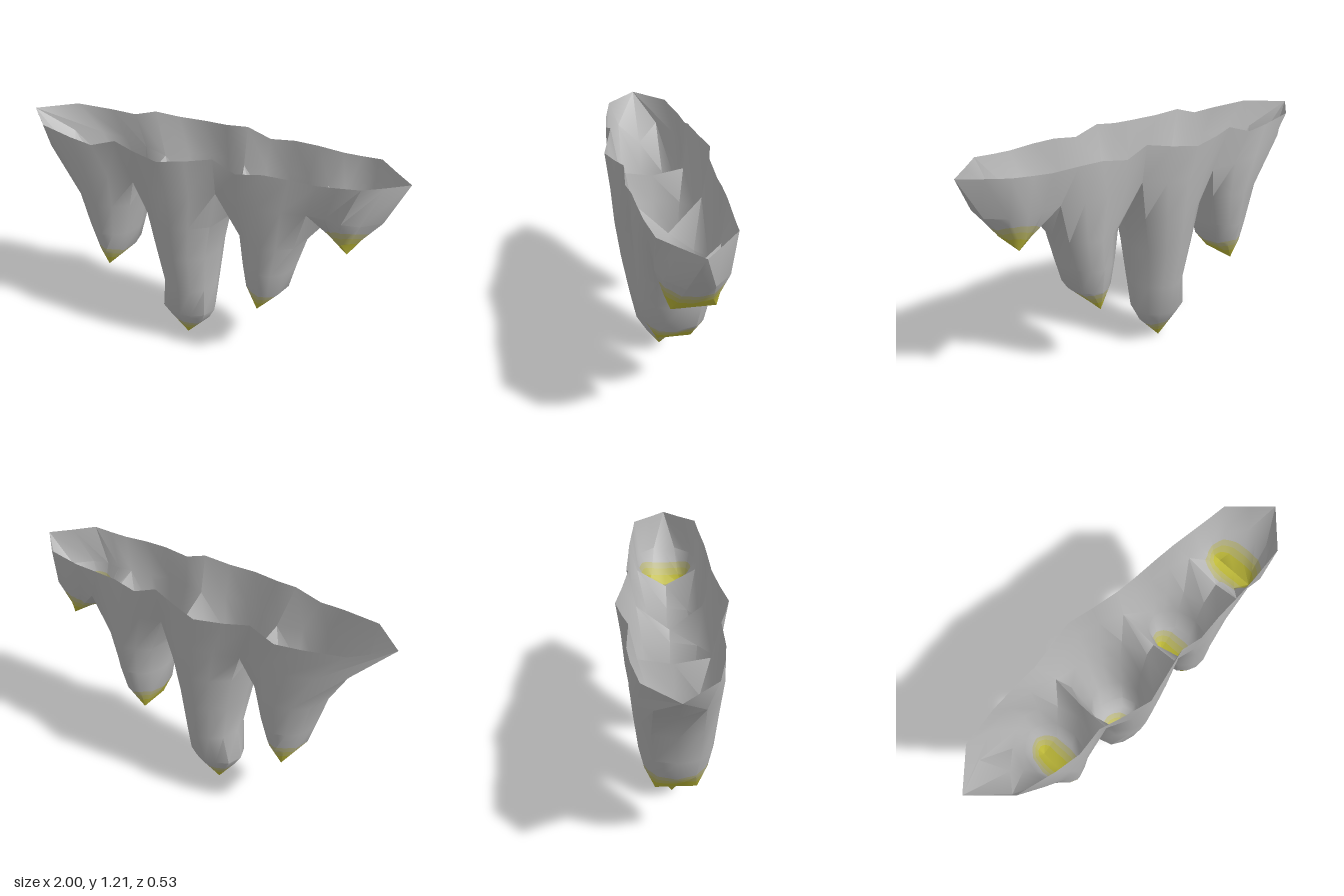
import * as THREE from 'three';
import { toCreasedNormals } from 'three/addons/utils/BufferGeometryUtils.js';

const flat = (name, color) => new THREE.MeshStandardMaterial({ name, color, side: THREE.DoubleSide });

// Rim outline: x, y, half depth. Four spans of four steps, one span for each spike.
const RIM = [
  [-1, 1.18, 0], [-0.84, 1.175, 0.16], [-0.65, 1.16, 0.2], [-0.52, 1.15, 0.215], [-0.39, 1.193, 0.205],
  [-0.27, 1.175, 0.235], [-0.13, 1.165, 0.267], [0, 1.18, 0.235], [0.13, 1.205, 0.205],
  [0.25, 1.16, 0.215], [0.38, 1.18, 0.205], [0.5, 1.18, 0.2], [0.63, 1.175, 0.19],
  [0.72, 1.18, 0.18], [0.82, 1.188, 0.17], [0.91, 1.18, 0.085], [1, 1.175, 0],
];

// Arches between spikes: corner x, y, half depth, then x and y of the middle of the ridge.
const ARCHES = [
  [-0.84, 1.04, 0.11, -0.77, 0.95],
  [-0.32, 0.97, 0.17, -0.32, 0.94],
  [0.13, 1.01, 0.17, 0.17, 0.85],
  [0.58, 1.0, 0.16, 0.62, 0.88],
  [0.91, 0.99, 0.06, 0.9, 0.97],
];

// Spikes: bulge at the arches, rings of y, left x, right x, half depth;
// tip of x, y, half length of its edge.
const SPIKES = [
  { name: 'leftSpike', bulge: 0.21, tip: [-0.54, 0.39, 0.1],
    rings: [[0.8, -0.71, -0.345, 0.195], [0.62, -0.66, -0.39, 0.175], [0.5, -0.625, -0.425, 0.15]] },
  { name: 'longSpike', bulge: 0.248, tip: [-0.11, 0, 0],
    rings: [[0.8, -0.3, 0.125, 0.233], [0.6, -0.26, 0.085, 0.205], [0.38, -0.22, 0.062, 0.165],
      [0.2, -0.245, 0.05, 0.127], [0.14, -0.21, 0.02, 0.09]] },
  { name: 'rightSpike', bulge: 0.205, tip: [0.33, 0.35, 0.085],
    rings: [[0.78, 0.205, 0.545, 0.19], [0.62, 0.23, 0.5, 0.18], [0.48, 0.25, 0.465, 0.15]] },
  { name: 'endSpike', bulge: 0.165, tip: [0.77, 0.81, 0.1],
    rings: [[0.87, 0.66, 0.825, 0.125]] },
];

// Reach of the tinted bands from the tip edge
const BANDS = [0.065, 0.105, 0.14];

const mix = THREE.MathUtils.lerp;

// Closed loop of twelve: front left to right, right middle, back right to left, left middle
function loop(front, right, left) {
  const back = front.map(([x, y, z]) => [x, y, -z]).reverse();
  return [...front, right, ...back, left];
}

function archLoop(a, b, bulge) {
  const front = [0, 1, 2, 3, 4].map((j) => {
    const t = j / 4, w = mix(a[2], b[2], t);
    return [mix(a[0], b[0], t), mix(a[1], b[1], t), w + (bulge - w) * Math.sin(Math.PI * t)];
  });
  return loop(front, [b[3], b[4], 0], [a[3], a[4], 0]);
}

function ringLoop([y, xl, xr, z], corner = 0.6) {
  const inset = (xr - xl) * 0.09;
  const front = [0, 1, 2, 3, 4].map((j) => [
    mix(xl + inset, xr - inset, j / 4), y, z * (corner + (1 - corner) * Math.sin(Math.PI * j / 4))]);
  return loop(front, [xr, y, 0], [xl, y, 0]);
}

const between = (p, q, t) => p.map((v, k) => mix(v, q[k], t));

// Distance from the straight edge at the end of a spike
const tipDistance = ([x, y, z], [tx, ty, tz]) =>
  Math.hypot(x - tx, y - ty, Math.max(0, Math.abs(z) - tz));

// Split a triangle into four, again and again, so that the bands curve
function subdivide([a, b, c], levels) {
  if (levels === 0) return [[a, b, c]];
  const ab = between(a, b, 0.5), bc = between(b, c, 0.5), ca = between(c, a, 0.5);
  return [[a, ab, ca], [ab, b, bc], [ca, bc, c], [ab, bc, ca]].flatMap((t) => subdivide(t, levels - 1));
}

// Part of a polygon within (sign -1) or beyond (sign 1) a reach from the tip
function clip(poly, tip, reach, sign) {
  const out = [];
  poly.forEach((p, i) => {
    const q = poly[(i + 1) % poly.length];
    const dp = sign * (tipDistance(p, tip) - reach), dq = sign * (tipDistance(q, tip) - reach);
    if (dp >= 0) out.push(p);
    if (dp * dq < 0) out.push(between(p, q, dp / (dp - dq)));
  });
  return out;
}

function bandGeometry(polys) {
  const pos = [], nor = [];
  for (const p of polys) {
    for (let i = 1; i + 1 < p.length; i++) {
      for (const v of [p[0], p[i], p[i + 1]]) {
        pos.push(v[0], v[1], v[2]);
        nor.push(v[3], v[4], v[5]);
      }
    }
  }
  const g = new THREE.BufferGeometry();
  g.setAttribute('position', new THREE.Float32BufferAttribute(pos, 3));
  g.setAttribute('normal', new THREE.Float32BufferAttribute(nor, 3));
  return g;
}

export function createModel() {
  const model = new THREE.Group();
  model.name = 'hangingRock';
  const materials = [
    flat('deep yellow', 0xc2bd3a), flat('dull yellow', 0xbfbb66),
    flat('pale yellow', 0xbcb988), flat('stone grey', 0xbababa),
  ];

  // One hollow shell, so that shading runs on between the spikes
  const verts = [], owner = [];
  let current = 0;
  const tri = (...pts) => {
    const [a, b, c] = pts.map((p) => new THREE.Vector3(...p));
    if (b.sub(a).cross(c.sub(a)).length() < 1e-7) return;
    pts.forEach((p) => verts.push(...p));
    owner.push(current);
  };
  const strip = (up, low, columns) => {
    for (const i of columns) {
      const k = (i + 1) % 12;
      tri(low[i], low[k], up[k]);
      tri(low[i], up[k], up[i]);
    }
  };
  const all = [...Array(12).keys()];

  SPIKES.forEach((s, n) => {
    current = n;
    const span = RIM.slice(n * 4, n * 4 + 5);
    const rim = loop(span, span[4], span[0]);
    const arch = archLoop(ARCHES[n], ARCHES[n + 1], s.bulge);
    const [tx, ty, tz] = s.tip;
    const loops = [arch, ...s.rings.map((r) => ringLoop(r)), ringLoop([ty, tx, tx, tz], 1)];
    // Front and back walls above the arches
    strip(rim, arch, [0, 1, 2, 3, 6, 7, 8, 9]);
    // Closed spike below
    for (let i = 0; i + 1 < loops.length; i++) strip(loops[i], loops[i + 1], all);
    // Pointed ends of the shell
    if (n === 0) {
      tri(span[0], arch[11], arch[0]);
      tri(span[0], arch[10], arch[11]);
    }
    if (n === 3) {
      tri(span[4], arch[5], arch[6]);
      tri(span[4], arch[4], arch[5]);
    }
  });

  let shell = new THREE.BufferGeometry();
  shell.setAttribute('position', new THREE.Float32BufferAttribute(verts, 3));
  shell = toCreasedNormals(shell, 0.75);
  const P = shell.attributes.position.array, N = shell.attributes.normal.array;

  // Cut each spike into tinted tip bands and grey stone
  SPIKES.forEach((s, n) => {
    let rest = [];
    owner.forEach((o, t) => {
      if (o !== n) return;
      const corners = [0, 3, 6].map((k) => {
        const i = t * 9 + k;
        return [...P.slice(i, i + 3), ...N.slice(i, i + 3)];
      });
      const near = corners.some((p) => tipDistance(p, s.tip) < 0.22);
      rest.push(...subdivide(corners, near ? 3 : 0));
    });
    const spike = new THREE.Group();
    spike.name = s.name;
    const add = (polys, m, name) => {
      const mesh = new THREE.Mesh(bandGeometry(polys), materials[m]);
      mesh.name = name;
      spike.add(mesh);
    };
    const cut = (reach, sign) => rest.map((p) => clip(p, s.tip, reach, sign)).filter((p) => p.length > 2);
    BANDS.forEach((reach, m) => {
      add(cut(reach, -1), m, 'tipBand' + (m + 1));
      rest = cut(reach, 1);
    });
    add(rest, 3, 'stoneWall');
    model.add(spike);
  });
  return model;
}
